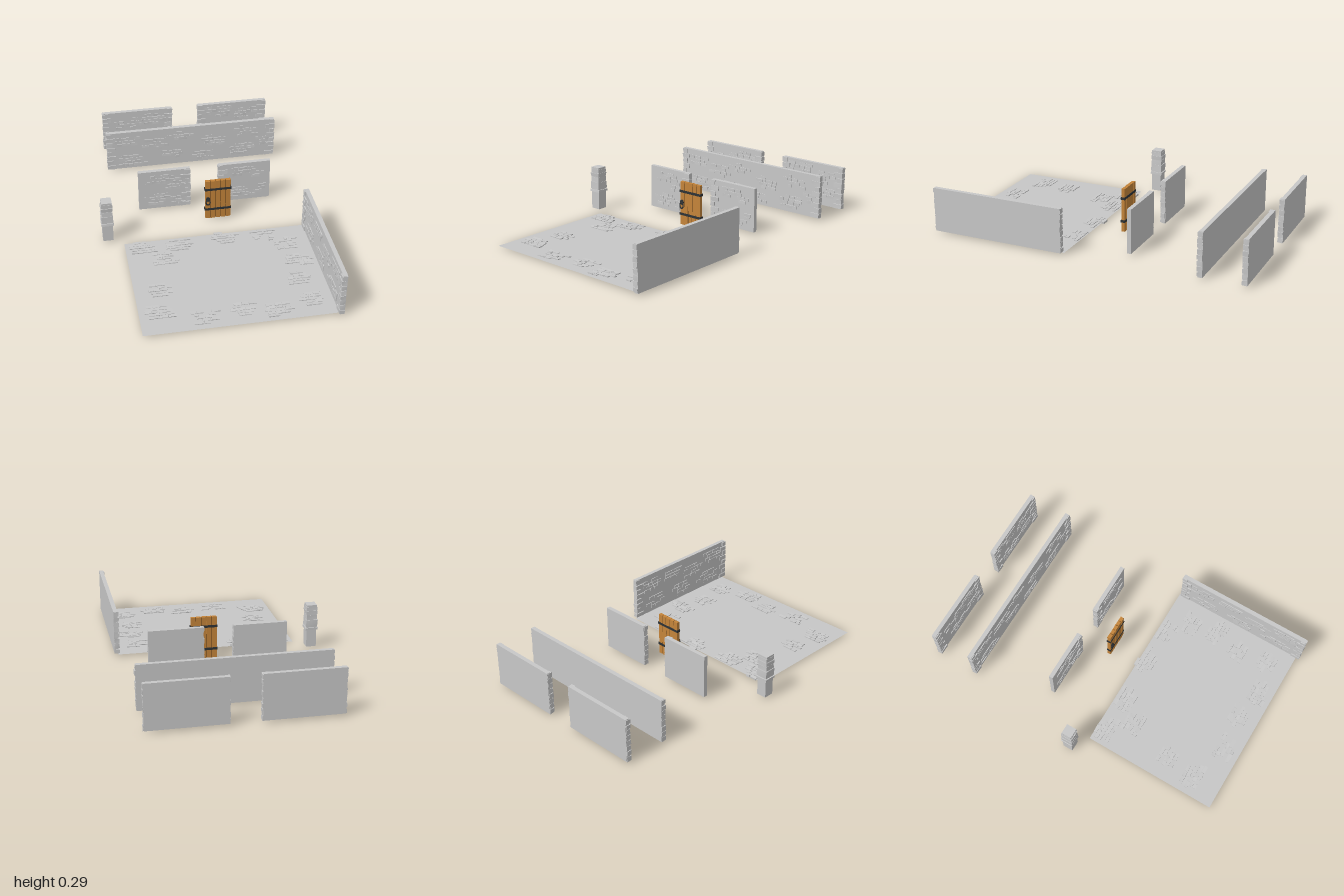
import * as THREE from 'three';
import { mergeGeometries } from 'three/addons/utils/BufferGeometryUtils.js';

const mat = (name, color) => {
  const m = new THREE.MeshStandardMaterial({ color });
  m.name = name;
  return m;
};

// Small seeded generator: returns values in [a, b)
let seed = 7;
const rand = (a, b) => {
  seed = (seed * 16807) % 2147483647;
  return a + (b - a) * (seed / 2147483647);
};

// Rough-hewn block: a box whose eight corners are nudged
function block(x, y, z, w, h, d, jx = 0, jy = 0, jz = 0) {
  const g = new THREE.BoxGeometry(w, h, d);
  const nudge = Array.from({ length: 8 }, () => [rand(-jx, jx), rand(-jy, jy), rand(-jz, jz)]);
  const p = g.attributes.position;
  for (let i = 0; i < p.count; i++) {
    const k = (p.getX(i) > 0 ? 1 : 0) + (p.getY(i) > 0 ? 2 : 0) + (p.getZ(i) > 0 ? 4 : 0);
    const n = nudge[k];
    p.setXYZ(i, p.getX(i) + n[0], p.getY(i) + n[1], p.getZ(i) + n[2]);
  }
  g.computeVertexNormals();
  return g.translate(x, y, z);
}

// Rows of staggered bricks; calls place(u, v, width, height) for each one
function cluster(cu, cv, rows, rowH, halfW, place) {
  for (let r = 0; r < rows; r++) {
    const v = cv + (r - (rows - 1) / 2) * rowH;
    const edge = halfW * (1 - 0.5 * Math.abs(r - (rows - 1) / 2) / rows) * rand(0.6, 1.1);
    let u = cu - edge + rand(-0.02, 0.02);
    while (u < cu + edge) {
      const w = rand(0.028, 0.06);
      if (rand(0, 1) < 0.85) place(u + w / 2, v, w - 0.003, rowH - 0.003);
      u += w;
    }
  }
}

export function createModel() {
  const model = new THREE.Group();
  const stone = mat('stone', 0xc8c8c8);
  const wood = mat('wood', 0xc4843a);
  const gapWood = mat('dark wood', 0x5e3c18);
  const iron = mat('iron', 0x2e3235);

  const add = (parent, name, geos, material) => {
    const mesh = new THREE.Mesh(Array.isArray(geos) ? mergeGeometries(geos) : geos, material);
    mesh.name = name;
    parent.add(mesh);
    return mesh;
  };

  const Y0 = 0.012, Y1 = 0.29, H = Y1 - Y0, T = 0.026;

  // Wall slab running along x with its back at z = 0 and its brick face at z = T
  function wall(name, x0, x1, quoinL, quoinR, spots) {
    const g = new THREE.Group();
    g.name = name;
    const mid = (Y0 + Y1) / 2;
    add(g, 'wallSlab', block((x0 + x1) / 2, mid, T / 2, x1 - x0, H, T), stone);

    // Raised brick patches
    const bricks = [];
    for (const [u, v, rows, halfW] of spots) {
      cluster(u, v, rows, 0.0215, halfW, (x, y, w, h) => {
        if (x - w / 2 < x0 + 0.01 || x + w / 2 > x1 - 0.01) return;
        if (y - h / 2 < Y0 || y + h / 2 > Y1) return;
        bricks.push(block(x, y, T, w, h, 0.009, 0.0015, 0.0015, 0.001));
      });
    }
    add(g, 'wallBricks', bricks, stone);

    // Corner stones wrapping the ends
    const quoins = [];
    for (const [on, x, s] of [[quoinL, x0, -1], [quoinR, x1, 1]]) {
      if (!on) continue;
      const n = 8, rh = H / n;
      for (let i = 0; i < n; i++) {
        const w = (i % 2 ? 0.035 : 0.058) + rand(-0.006, 0.006);
        const out = rand(0.001, 0.005);
        quoins.push(block(x + s * (out - w / 2), Y0 + (i + 0.5) * rh, T / 2 + 0.004,
          w, rh - 0.006, T + 0.005, 0.002, 0.003, 0.0015));
      }
    }
    if (quoins.length) add(g, 'cornerStones', quoins, stone);
    model.add(g);
    return g;
  }

  // Far pair of walls
  wall('backWallRight', -0.515, -0.042, true, true,
    [[-0.36, 0.2, 4, 0.09], [-0.2, 0.22, 4, 0.09], [-0.3, 0.075, 4, 0.1], [-0.13, 0.11, 3, 0.06]])
    .position.z = -1;
  wall('backWallLeft', 0.142, 0.615, true, true,
    [[0.27, 0.23, 4, 0.08], [0.45, 0.2, 4, 0.09], [0.3, 0.08, 4, 0.09], [0.5, 0.1, 3, 0.07]])
    .position.z = -1;

  // Long unbroken wall
  wall('longWall', -0.518, 0.618, true, true,
    [[-0.4, 0.22, 3, 0.08], [-0.22, 0.18, 4, 0.09], [-0.02, 0.23, 3, 0.09], [0.2, 0.17, 4, 0.09],
      [0.42, 0.22, 4, 0.08], [-0.36, 0.07, 4, 0.09], [-0.1, 0.09, 3, 0.09], [0.12, 0.06, 3, 0.08],
      [0.38, 0.08, 4, 0.1], [0.53, 0.13, 3, 0.05]])
    .position.z = -0.737;

  // Walls either side of the doorway
  wall('doorWallRight', -0.372, -0.042, false, true,
    [[-0.26, 0.23, 3, 0.07], [-0.15, 0.2, 5, 0.07], [-0.27, 0.08, 4, 0.08], [-0.14, 0.06, 3, 0.06]])
    .position.z = -0.242;
  wall('doorWallLeft', 0.142, 0.478, true, false,
    [[0.28, 0.23, 3, 0.08], [0.4, 0.19, 3, 0.06], [0.26, 0.07, 4, 0.08], [0.4, 0.08, 4, 0.06]])
    .position.z = -0.242;

  // Side wall, brick face turned inwards
  const side = wall('sideWall', -0.428, 0.428, true, true,
    [[-0.3, 0.21, 4, 0.09], [-0.1, 0.22, 3, 0.09], [0.1, 0.18, 4, 0.09], [0.3, 0.22, 4, 0.09],
      [-0.27, 0.08, 4, 0.09], [-0.02, 0.08, 4, 0.08], [0.25, 0.08, 4, 0.09]]);
  side.rotation.y = -Math.PI / 2;
  side.position.set(0.64, 0, 0.566);

  // Floor sheet with patches of paving showing on both faces
  const floor = new THREE.Group();
  floor.name = 'floor';
  const floorMat = mat('floor stone', 0xc7c7c7);
  floorMat.side = THREE.DoubleSide;
  add(floor, 'floorSheet',
    new THREE.PlaneGeometry(1.13, 0.85).rotateX(-Math.PI / 2).translate(0.053, 0.009, 0.55), floorMat);
  const pavers = [];
  const patches = [[-0.42, 0.18], [-0.3, 0.31], [-0.37, 0.6], [-0.4, 0.79], [-0.16, 0.88], [0.08, 0.85],
    [0.27, 0.89], [0.49, 0.83], [0.46, 0.63], [0.5, 0.46], [0.45, 0.29], [0.34, 0.19], [0.1, 0.17], [-0.2, 0.19]];
  for (const [u, v] of patches) {
    cluster(u, v, 5, 0.023, 0.075, (x, z, w, d) => {
      if (x - w / 2 < -0.5 || x + w / 2 > 0.6) return;
      pavers.push(block(x, 0.008, z, w, 0.012, d, 0.002, 0.002, 0.0015));
    });
  }
  add(floor, 'pavers', pavers, stone);
  model.add(floor);

  // Door: five planks over a dark core
  const door = new THREE.Group();
  door.name = 'door';
  const dx0 = 0.026, dx1 = 0.189, dz = -0.058, dw = (dx1 - dx0) / 5;
  const planks = [];
  for (let i = 0; i < 5; i++) {
    planks.push(block(dx0 + (i + 0.5) * dw, (Y0 + Y1) / 2, dz, dw - 0.003, H, 0.022, 0.001, 0.001, 0.001));
  }
  add(door, 'planks', planks, wood);
  add(door, 'plankGaps', block((dx0 + dx1) / 2, (Y0 + Y1) / 2, dz, dx1 - dx0 - 0.004, H - 0.004, 0.016), gapWood);
  add(door, 'ironBands', [0.081, 0.229].map((y) =>
    block((dx0 + dx1) / 2, y, dz, dx1 - dx0 + 0.006, 0.015, 0.027)), iron);

  // Handle plate and pull ring
  const plate = new THREE.CylinderGeometry(0.014, 0.014, 0.006, 8).rotateX(Math.PI / 2);
  plate.scale(1, 1.2, 1).translate(0.043, 0.158, dz + 0.014);
  const ring = new THREE.TorusGeometry(0.013, 0.004, 6, 12);
  ring.scale(1, 1.4, 1).translate(0.043, 0.137, dz + 0.018);
  add(door, 'handle', [plate, ring], iron);
  model.add(door);

  // Corner post: plain shaft, rough courses on its upper half
  const post = new THREE.Group();
  post.name = 'post';
  post.position.set(-0.603, 0, 0.043);
  add(post, 'postShaft', block(0, (Y0 + Y1) / 2, 0, 0.064, H, 0.064), stone);
  const courses = [[0.134, 0.015, 0.078], [0.169, 0.044, 0.073], [0.209, 0.03, 0.068],
    [0.24, 0.024, 0.07], [0.267, 0.022, 0.068]];
  add(post, 'postCourses', courses.map(([y, h, w]) => block(0, y, 0, w, h, w, 0.002, 0.002, 0.002)), stone);
  model.add(post);

  return model;
}
